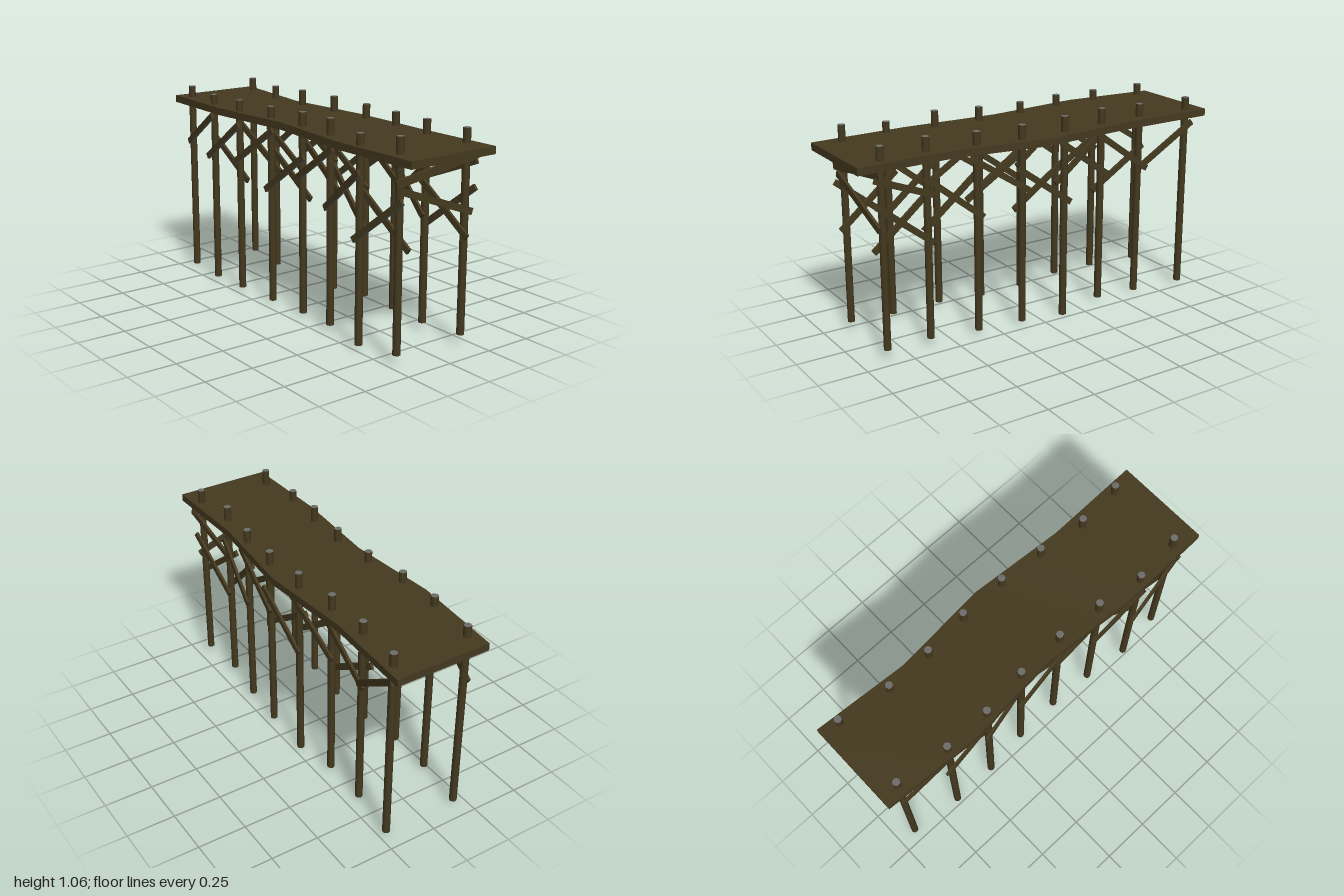
import * as THREE from 'three';

const wood = new THREE.MeshStandardMaterial({ color: 0x453a20 });
wood.name = 'dark wood';
const grey = new THREE.MeshStandardMaterial({ color: 0x6c6c6a });
grey.name = 'weathered grey';

// Pairs of posts from front to back: z, then [x, bottom, top] for the +x and -x side
const rows = [
  { z: 0.865, 1: [0.19, 0.055, 1.055], [-1]: [-0.208, 0.05, 1.065] },
  { z: 0.62, 1: [0.169, 0.045, 1.058], [-1]: [-0.231, 0.025, 1.04] },
  { z: 0.365, 1: [0.198, 0.035, 1.05], [-1]: [-0.203, 0.04, 1.065] },
  { z: 0.12, 1: [0.213, 0.03, 1.05], [-1]: [-0.186, 0.025, 1.055] },
  { z: -0.135, 1: [0.206, 0, 1.055], [-1]: [-0.194, 0.02, 1.045] },
  { z: -0.38, 1: [0.18, 0.03, 1.055], [-1]: [-0.222, 0.03, 1.045] },
  { z: -0.625, 1: [0.177, 0.015, 1.045], [-1]: [-0.222, 0.025, 1.04] },
  { z: -0.903, 1: [0.212, 0.02, 1.05], [-1]: [-0.19, 0.02, 1.045] },
];

// Braces per bay: falling and rising towards the back, as [z0, y0, z1, y1]
const bays = [
  { fall: [0.905, 0.78, 0.6, 0.54], rise: [0.905, 0.545, 0.585, 0.79] },
  { fall: [0.64, 0.865, 0.345, 0.63], rise: [0.63, 0.59, 0.355, 0.84] },
  { fall: [0.41, 0.93, 0.09, 0.72], rise: [0.41, 0.71, 0.09, 0.92] },
  { fall: [0.155, 0.84, -0.16, 0.615], rise: [0.155, 0.62, -0.165, 0.83] },
  { fall: [-0.1, 0.93, -0.41, 0.71], rise: [-0.095, 0.71, -0.41, 0.925] },
  { fall: [-0.36, 0.92, -0.665, 0.7], rise: [-0.345, 0.62, -0.67, 0.815] },
  { fall: [-0.61, 0.93, -0.915, 0.735], rise: [-0.62, 0.71, -0.93, 0.92] },
];

// Plank between two points, standing on edge
function plank(name, a, b, width, thick, material) {
  const mesh = new THREE.Mesh(new THREE.BoxGeometry(thick, width, a.distanceTo(b)), material);
  mesh.name = name;
  mesh.position.copy(a).add(b).multiplyScalar(0.5);
  mesh.lookAt(b);
  return mesh;
}

// Plank along one side of a bay with a grey lower edge; offset picks the outer or inner face of the posts
function sideBrace(i, side, [z0, y0, z1, y1], offset) {
  const p = rows[i], q = rows[i + 1];
  const xAt = (z) => p[side][0] + (q[side][0] - p[side][0]) * (z - p.z) / (q.z - p.z) + side * offset;
  return plank('sideBrace', new THREE.Vector3(xAt(z0), y0, z0), new THREE.Vector3(xAt(z1), y1, z1),
    0.031, 0.014, [wood, wood, wood, grey, wood, wood]);
}

// Winding deck, bent and slightly twisted at five stations from back to front
function deck() {
  const shift = [0.011, -0.021, 0.02, -0.021, -0.011];
  const twist = [0, -0.008, -0.007, 0, 0];
  const geo = new THREE.BoxGeometry(0.5, 0.037, 2, 1, 1, 4);
  const pos = geo.attributes.position;
  for (let i = 0; i < pos.count; i++) {
    const s = Math.round((pos.getZ(i) + 1) * 2);
    const side = Math.sign(pos.getX(i));
    pos.setX(i, pos.getX(i) + shift[s]);
    pos.setY(i, pos.getY(i) + 0.966 + (s === 1 || s === 2 ? -0.003 : 0) + side * twist[s]);
  }
  geo.computeVertexNormals();
  const mesh = new THREE.Mesh(geo, wood);
  mesh.name = 'deck';
  return mesh;
}

export function createModel() {
  const model = new THREE.Group();
  model.name = 'pier';
  model.add(deck());

  // Posts
  const posts = new THREE.Group();
  posts.name = 'posts';
  for (const row of rows) {
    for (const side of [1, -1]) {
      const [x, bottom, top] = row[side];
      const post = new THREE.Mesh(
        new THREE.CylinderGeometry(0.019, 0.019, top - bottom, 8), [wood, grey, wood]);
      post.name = 'post';
      post.position.set(x, (top + bottom) / 2, row.z);
      posts.add(post);
    }
  }
  model.add(posts);

  // Crossed side braces, falling ones outside; the last bay has a single one on each side
  const braces = new THREE.Group();
  braces.name = 'braces';
  bays.forEach((bay, i) => {
    if (i === bays.length - 1) {
      braces.add(sideBrace(i, 1, bay.rise, 0.022), sideBrace(i, -1, bay.fall, 0.022));
      return;
    }
    for (const side of [1, -1]) {
      braces.add(sideBrace(i, side, bay.fall, 0.022), sideBrace(i, side, bay.rise, -0.022));
    }
  });

  // Extra upper brace in the first bay
  braces.add(sideBrace(0, 1, [0.91, 0.905, 0.59, 0.775], 0.022));

  // Cross braces at the front pair of posts
  braces.add(plank('frontBraceUpper',
    new THREE.Vector3(-0.252, 0.857, 0.892), new THREE.Vector3(0.238, 0.93, 0.892), 0.037, 0.014, wood));
  braces.add(plank('frontBraceLower',
    new THREE.Vector3(-0.225, 0.825, 0.89), new THREE.Vector3(0.21, 0.662, 0.89), 0.034, 0.014, wood));
  model.add(braces);
  return model;
}
